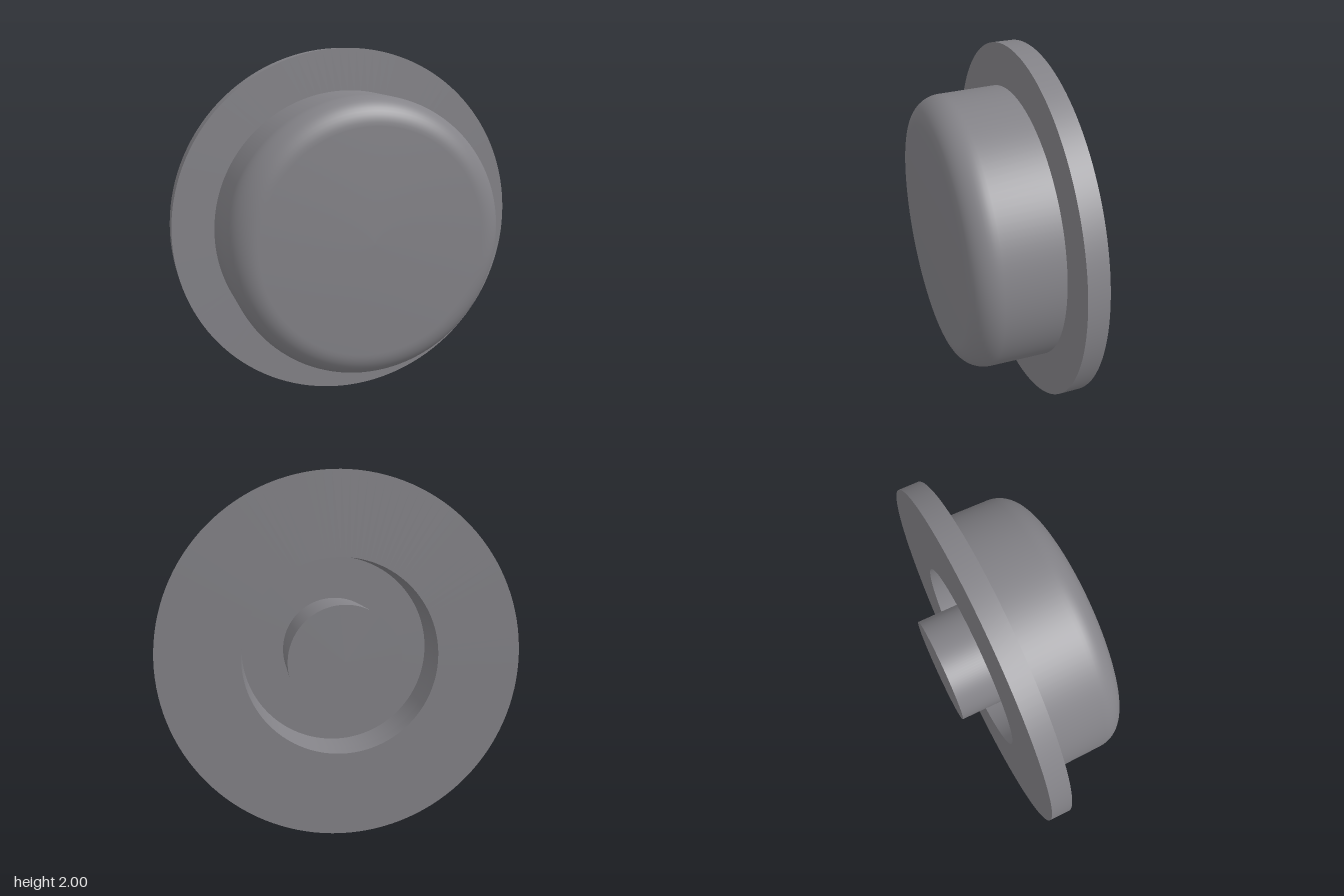
import * as THREE from 'three';
import { toCreasedNormals } from 'three/addons/utils/BufferGeometryUtils.js';

const material = new THREE.MeshStandardMaterial({ color: 0x848388 });

// Turned part: profile is [radius, z] pairs, run from the back to the front
function turned(name, profile) {
  const points = profile.map(([r, z]) => new THREE.Vector2(r, z));
  const geometry = new THREE.LatheGeometry(points, 128);
  geometry.rotateX(Math.PI / 2); // lathe axis y -> z
  const mesh = new THREE.Mesh(toCreasedNormals(geometry, Math.PI / 6), material);
  mesh.name = name;
  mesh.position.y = 1;
  return mesh;
}

export function createModel() {
  const group = new THREE.Group();
  group.name = 'flangedKnob';

  const back = -0.385, front = 0.385;
  const flangeBack = -0.2, flangeFront = -0.085;
  const recessFloor = 0.13, recessRadius = 0.54;

  // Wide flat ring with the recess opening through it
  group.add(turned('flange', [
    [recessRadius, flangeFront], [recessRadius, flangeBack],
    [1, flangeBack], [1, flangeFront], [0.77, flangeFront],
  ]));

  // Hollow cap: recess floor and wall, slightly tapered side, rounded front edge
  const fillet = 0.15, capRadius = 0.765;
  const cap = [
    [0, recessFloor], [recessRadius, recessFloor],
    [recessRadius, flangeFront], [0.77, flangeFront],
  ];
  for (let i = 0; i <= 12; i++) {
    const a = (i / 12) * Math.PI / 2;
    cap.push([
      capRadius - fillet + fillet * Math.cos(a),
      front - fillet + fillet * Math.sin(a),
    ]);
  }
  cap.push([0, front]);
  group.add(turned('cap', cap));

  // Solid stem rising from the recess floor out past the flange
  group.add(turned('stem', [[0, back], [0.3, back], [0.3, recessFloor]]));

  return group;
}
